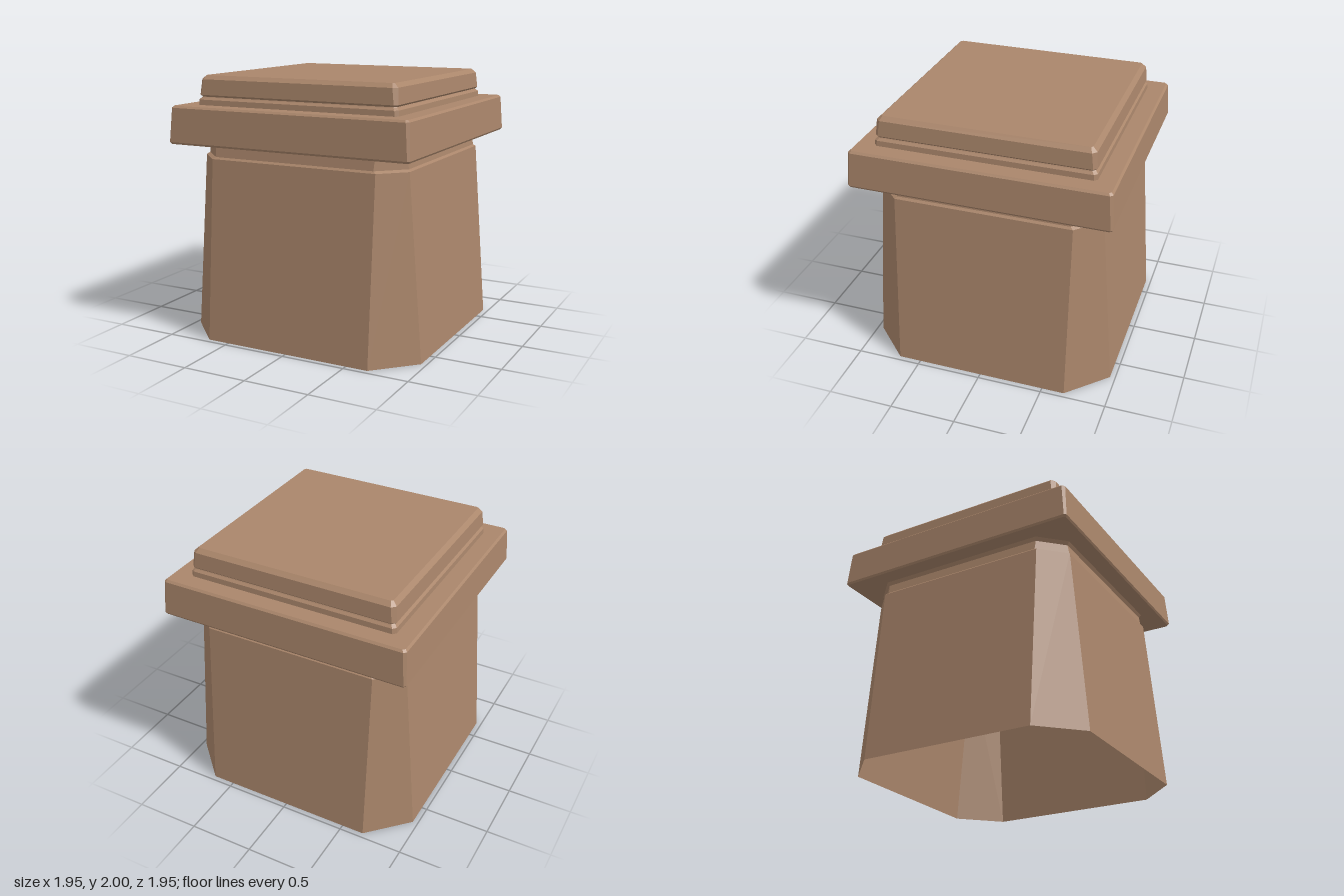
import * as THREE from 'three';

// Square outline with cut corners: h = half width, f = half length of the flat side
function ring([y, h, f]) {
  return [[h, -f], [h, f], [f, h], [-f, h], [-h, f], [-h, -f], [-f, -h], [f, -h]]
    .map(([x, z]) => [x, y, -z]);
}

// Skin a stack of outlines with flat faces, optionally closing the ends
function loft(name, sections, material, capBottom, capTop) {
  const rings = sections.map(ring);
  const pos = [];
  const tri = (...pts) => pts.forEach((p) => pos.push(...p));
  for (let k = 0; k < rings.length - 1; k++) {
    const lo = rings[k], hi = rings[k + 1];
    for (let i = 0; i < 8; i++) {
      const j = (i + 1) % 8;
      tri(lo[i], lo[j], hi[j]);
      tri(lo[i], hi[j], hi[i]);
    }
  }
  const first = rings[0], last = rings[rings.length - 1];
  for (let i = 1; i < 7; i++) {
    if (capBottom) tri(first[0], first[i + 1], first[i]);
    if (capTop) tri(last[0], last[i], last[i + 1]);
  }
  const geometry = new THREE.BufferGeometry();
  geometry.setAttribute('position', new THREE.Float32BufferAttribute(pos, 3));
  geometry.computeVertexNormals();
  const mesh = new THREE.Mesh(geometry, material);
  mesh.name = name;
  return mesh;
}

export function createModel() {
  const group = new THREE.Group();
  group.name = 'pedestal';
  const stone = new THREE.MeshStandardMaterial({ color: 0xaa866b, flatShading: true });
  const thinStone = stone.clone();
  thinStone.side = THREE.DoubleSide;

  // Tapered hollow shaft, open underneath, with a recessed neck
  group.add(loft('shaft', [
    [0, 0.96, 0.672], [1.385, 0.85, 0.672], [1.4, 0.835, 0.65],
    [1.47, 0.825, 0.655], [1.5, 0.845, 0.665],
  ], thinStone, false, false));

  // Wide overhanging slab
  group.add(loft('slab', [
    [1.495, 0.965, 0.95], [1.51, 0.975, 0.96], [1.765, 0.96, 0.94], [1.78, 0.945, 0.93],
  ], stone, true, true));

  // Low step, then a groove
  group.add(loft('step', [
    [1.78, 0.818, 0.795], [1.82, 0.815, 0.792], [1.835, 0.8, 0.78], [1.85, 0.79, 0.77],
  ], stone, false, true));

  // Bevelled top block
  group.add(loft('topBlock', [
    [1.84, 0.795, 0.775], [1.855, 0.81, 0.785], [1.97, 0.8, 0.77], [2, 0.768, 0.755],
  ], stone, true, true));

  return group;
}
